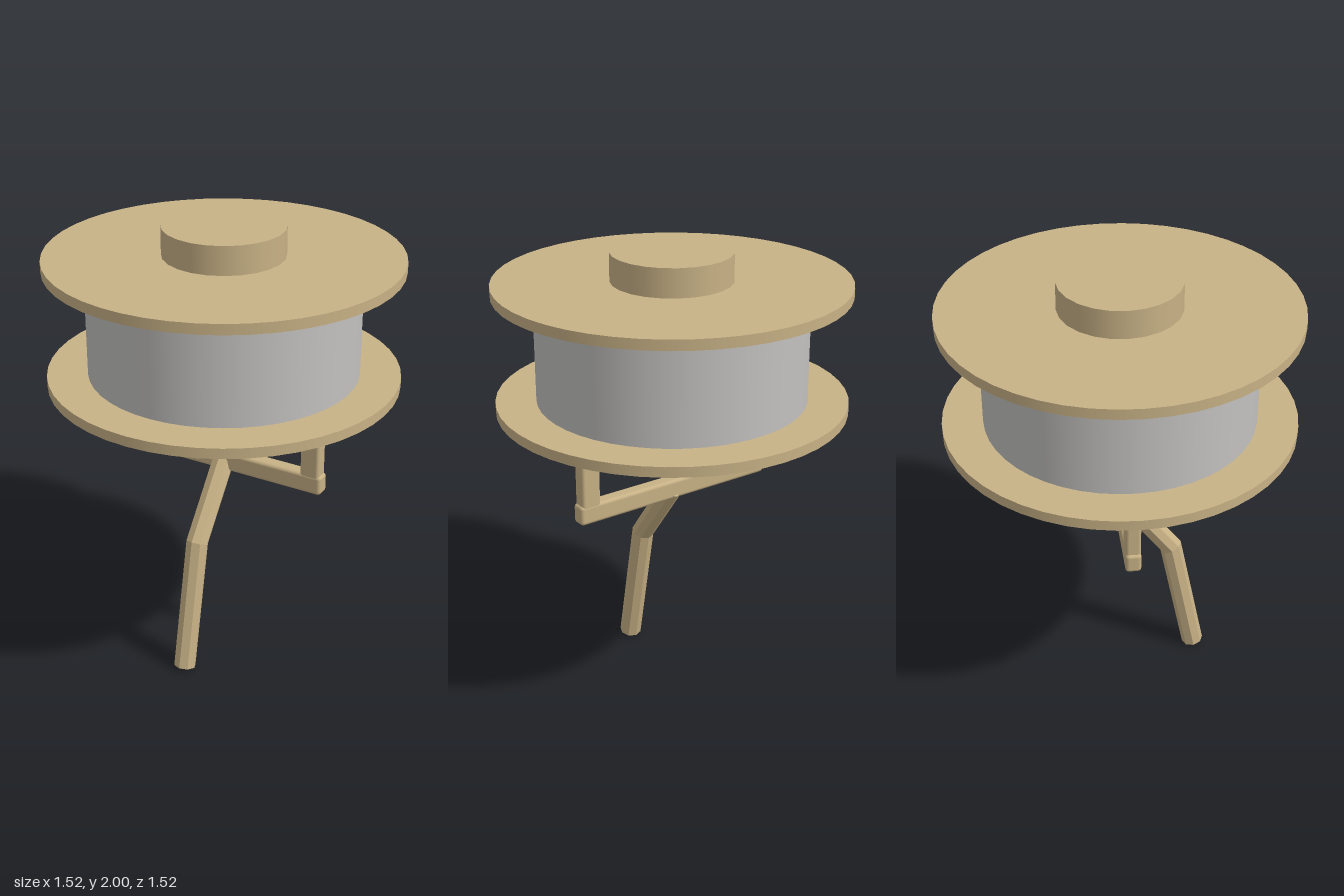
import * as THREE from 'three';
import { RoundedBoxGeometry } from 'three/addons/geometries/RoundedBoxGeometry.js';

export function createModel() {
  const model = new THREE.Group();
  model.name = 'spoolOnCrank';
  const wood = new THREE.MeshStandardMaterial({ name: 'tan wood', color: 0xc8b286 });
  const metal = new THREE.MeshStandardMaterial({ name: 'light grey', color: 0xc2c1bf });

  const add = (name, geometry, material, x = 0, y = 0, z = 0) => {
    const mesh = new THREE.Mesh(geometry, material);
    mesh.name = name;
    mesh.position.set(x, y, z);
    model.add(mesh);
    return mesh;
  };

  // Upright discs given by radius and bottom/top height
  const disc = (name, radius, y0, y1, sides, material) =>
    add(name, new THREE.CylinderGeometry(radius, radius, y1 - y0, sides), material, 0, (y0 + y1) / 2);

  disc('hubTop', 0.262, 1.87, 2.0, 24, wood);
  disc('topFlange', 0.76, 1.83, 1.875, 48, wood);
  disc('drum', 0.585, 1.35, 1.84, 48, metal);
  disc('bottomFlange', 0.76, 1.315, 1.36, 48, wood);
  disc('hubBottom', 0.262, 1.185, 1.32, 24, wood);

  // Yoke: two posts standing on a crossbar
  for (const side of [1, -1]) {
    add(side > 0 ? 'leftPost' : 'rightPost',
      new RoundedBoxGeometry(0.09, 0.39, 0.066, 2, 0.014), wood, side * 0.44, 1.14, 0);
  }
  add('crossbar', new RoundedBoxGeometry(0.99, 0.09, 0.068, 2, 0.016), wood, 0, 0.921, 0);

  // Bent eight-sided handle: rings of a cylinder moved onto a mitred path
  const path = [[0.353, 0.01], [0.235, 0.603], [0, 0.917]].map(([z, y]) => new THREE.Vector3(0, y, z));
  const across = (a, b) => {
    const d = b.clone().sub(a).normalize();
    return new THREE.Vector3(1, 0, 0).cross(d);
  };
  const low = across(path[0], path[1]);
  const high = across(path[1], path[2]);
  const mitre = low.clone().add(high).normalize();
  mitre.divideScalar(mitre.dot(low));
  const normals = [low, mitre, high];

  const tube = new THREE.CylinderGeometry(0.05, 0.05, 2, 8, 2);
  const pos = tube.attributes.position;
  for (let i = 0; i < pos.count; i++) {
    const ring = Math.round(pos.getY(i)) + 1;
    const p = path[ring].clone().addScaledVector(normals[ring], pos.getZ(i));
    pos.setXYZ(i, pos.getX(i), p.y, p.z);
  }
  const handle = tube.toNonIndexed();
  handle.computeVertexNormals();
  add('handle', handle, wood);

  return model;
}
